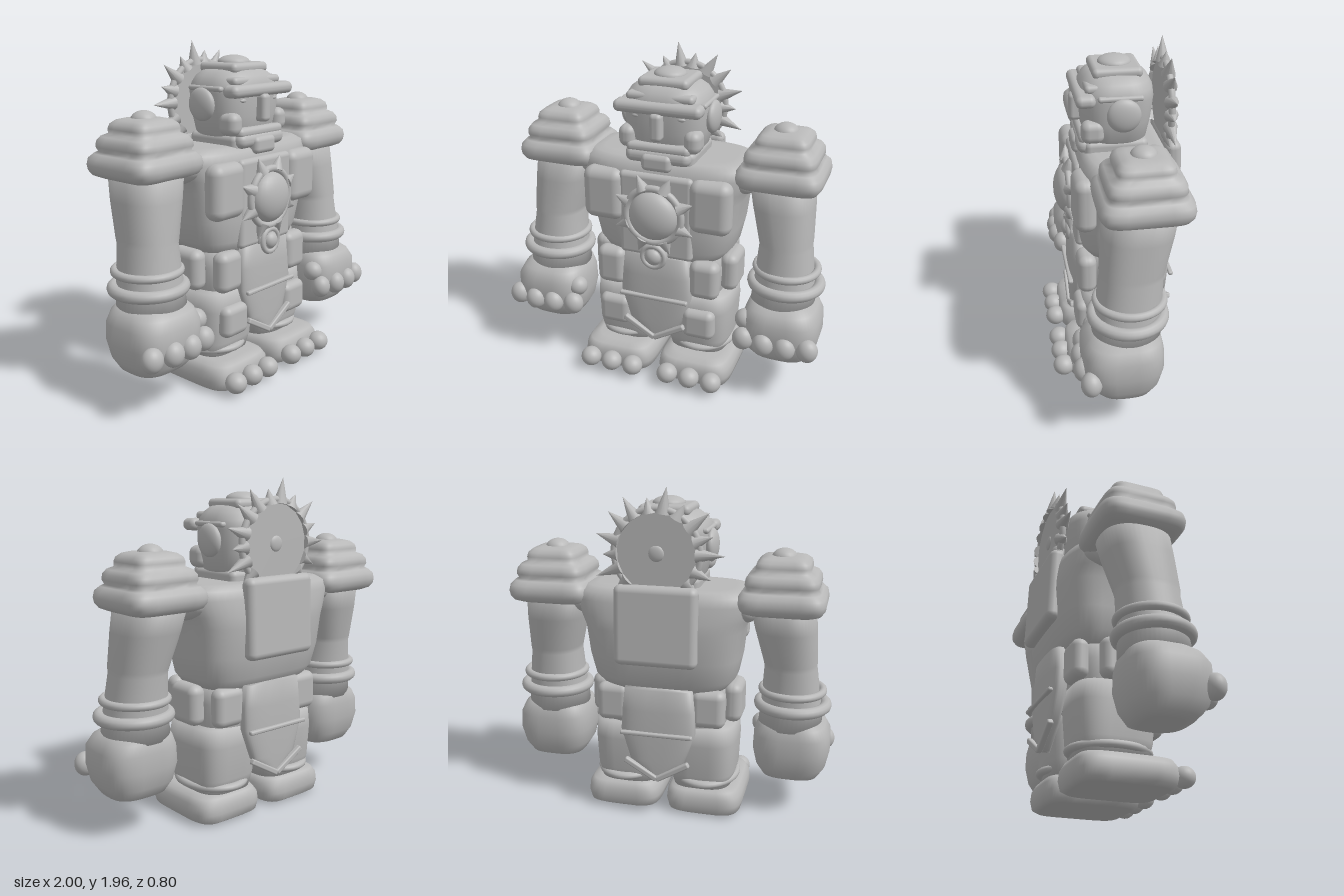
import * as THREE from 'three';
import { RoundedBoxGeometry } from 'three/addons/geometries/RoundedBoxGeometry.js';

const stone = new THREE.MeshStandardMaterial({ color: 0xb8b8b8 });
stone.name = 'stone grey';

// Solid lofted upward through rounded-square sections [y, cx, cz, halfX, halfZ, squareness]
function loft(sections, seg = 48) {
  const pos = [], idx = [], n = sections.length;
  const pw = (v, e) => Math.sign(v) * Math.pow(Math.abs(v), e);
  for (const [y, cx, cz, hx, hz, sq = 3.5] of sections) {
    for (let i = 0; i < seg; i++) {
      const a = (i / seg) * Math.PI * 2;
      pos.push(cx + hx * pw(Math.cos(a), 2 / sq), y, cz + hz * pw(Math.sin(a), 2 / sq));
    }
  }
  const bottom = n * seg, top = bottom + 1, first = sections[0], last = sections[n - 1];
  pos.push(first[1], first[0], first[2], last[1], last[0], last[2]);
  for (let i = 0; i < seg; i++) {
    const k = (i + 1) % seg;
    for (let j = 0; j < n - 1; j++) {
      const a = j * seg + i, b = j * seg + k;
      idx.push(a, a + seg, b, b, a + seg, b + seg);
    }
    idx.push(bottom, i, k, top, (n - 1) * seg + k, (n - 1) * seg + i);
  }
  const g = new THREE.BufferGeometry();
  g.setAttribute('position', new THREE.Float32BufferAttribute(pos, 3));
  g.setIndex(idx);
  g.computeVertexNormals();
  return g;
}

export function createModel() {
  const model = new THREE.Group();
  model.name = 'stoneGuardian';

  const add = (name, geo, x = 0, y = 0, z = 0, parent = model) => {
    const m = new THREE.Mesh(geo, stone);
    m.name = name;
    m.position.set(x, y, z);
    parent.add(m);
    return m;
  };
  const box = (name, w, h, d, x, y, z, r = 0.035, parent = model) =>
    add(name, new RoundedBoxGeometry(w, h, d, 4, Math.min(r, w / 2.1, h / 2.1, d / 2.1)), x, y, z, parent);
  const ball = (name, r, x, y, z, parent = model, sx = 1, sy = 1, sz = 1) => {
    const m = add(name, new THREE.SphereGeometry(r, 24, 16), x, y, z, parent);
    m.scale.set(sx, sy, sz);
    return m;
  };
  // Horizontal ring with separate x and z radii
  const band = (name, rx, rz, tube, x, y, z, parent) => {
    const m = add(name, new THREE.TorusGeometry(rx, tube, 12, 40), x, y, z, parent);
    m.rotation.x = Math.PI / 2;
    m.scale.y = rz / rx;
  };
  const disc = (name, r, depth, x, y, z) => {
    const m = add(name, new THREE.CylinderGeometry(r, r, depth, 40), x, y, z);
    m.rotation.x = Math.PI / 2;
  };
  // Cone pointing outward from a centre in the xy plane
  const spike = (name, cy, z, deg, r0, r1, w) => {
    const a = THREE.MathUtils.degToRad(deg), mid = (r0 + r1) / 2;
    const m = add(name, new THREE.ConeGeometry(w, r1 - r0, 10), Math.cos(a) * mid, cy + Math.sin(a) * mid, z);
    m.rotation.z = a - Math.PI / 2;
  };

  // Torso and hips
  add('torso', loft([
    [0.77, 0, -0.04, 0.3, 0.19], [0.79, 0, -0.045, 0.37, 0.235], [0.85, 0, -0.055, 0.42, 0.26],
    [0.98, 0, -0.06, 0.447, 0.285], [1.15, 0, -0.07, 0.465, 0.29], [1.22, 0, -0.07, 0.495, 0.285],
    [1.31, 0, -0.07, 0.53, 0.27], [1.36, 0, -0.07, 0.52, 0.255], [1.385, 0, -0.07, 0.46, 0.22],
    [1.39, 0, -0.07, 0.4, 0.18]]));
  add('hips', loft([
    [0.5, 0, -0.03, 0.33, 0.19], [0.54, 0, -0.03, 0.365, 0.22], [0.7, 0, -0.035, 0.38, 0.235],
    [0.82, 0, -0.04, 0.36, 0.22]]));
  box('chestPanel', 0.45, 0.52, 0.08, 0, 1.06, 0.185, 0.03);
  box('backPlate', 0.48, 0.46, 0.09, 0, 1.195, -0.348, 0.04).rotation.x = 0.04;
  box('neck', 0.42, 0.1, 0.36, 0, 1.4, -0.02);

  // Sun emblem on the chest
  disc('sunPlate', 0.175, 0.03, 0, 1.08, 0.23);
  add('sunRim', new THREE.TorusGeometry(0.168, 0.021, 12, 48), 0, 1.08, 0.245);
  ball('sunDome', 0.148, 0, 1.08, 0.245, model, 1, 1, 0.55);
  for (let i = 0; i < 8; i++) spike('sunSpike', 1.08, 0.24, 22.5 + i * 45, 0.165, 0.26, 0.042);
  ball('pendant', 0.085, 0, 0.82, 0.235, model, 1, 1, 0.35);
  add('pendantRim', new THREE.TorusGeometry(0.068, 0.016, 10, 32), 0, 0.82, 0.25);
  ball('pendantBead', 0.05, 0, 0.82, 0.25, model, 1, 1, 0.8);

  // Convex loincloths, front and back
  for (const [side, z, out] of [['front', 0.19, 1], ['back', -0.29, -1]]) {
    add(side + 'Loincloth', loft([
      [0.255, 0, z + out * 0.025, 0.015, 0.03, 3], [0.37, 0, z + out * 0.02, 0.165, 0.04, 3],
      [0.55, 0, z + out * 0.01, 0.222, 0.055, 3], [0.68, 0, z, 0.215, 0.06, 3], [0.81, 0, z, 0.2, 0.055, 3]]));
    box(side + 'ClothBar', 0.43, 0.024, 0.03, 0, 0.545, z + out * 0.068, 0.01);
    for (const s of [-1, 1]) {
      const trim = box(side + 'ClothTrim', 0.225, 0.034, 0.035, s * 0.095, 0.315, z + out * 0.057, 0.01);
      trim.rotation.z = s * 0.53;
    }
  }

  // Head
  add('head', loft([
    [1.39, 0, -0.03, 0.17, 0.15, 3], [1.45, 0, -0.03, 0.22, 0.18, 3], [1.55, 0, -0.03, 0.24, 0.2, 3],
    [1.68, 0, -0.035, 0.25, 0.21, 3], [1.73, 0, -0.035, 0.24, 0.205, 2.8], [1.77, 0, -0.035, 0.215, 0.185, 2.7],
    [1.8, 0, -0.035, 0.175, 0.15, 2.7], [1.815, 0, -0.035, 0.12, 0.1, 2.7]]));
  box('brow', 0.52, 0.07, 0.11, 0, 1.695, 0.155, 0.033);
  box('forehead', 0.4, 0.05, 0.1, 0, 1.745, 0.105, 0.025);
  box('capStep', 0.3, 0.06, 0.28, 0, 1.813, -0.035, 0.028);
  ball('capButton', 0.095, 0, 1.84, -0.035, model, 1, 0.45, 1);
  box('nose', 0.07, 0.16, 0.09, 0, 1.595, 0.18, 0.025);
  box('upperLip', 0.38, 0.06, 0.12, 0, 1.46, 0.13, 0.028);
  box('lowerLip', 0.39, 0.085, 0.13, 0, 1.415, 0.135, 0.04);
  box('chin', 0.18, 0.1, 0.1, 0, 1.385, 0.17, 0.03);

  // Uneven spiked halo behind the head: [angle, tip radius]
  disc('haloDisc', 0.25, 0.025, 0, 1.6, -0.315);
  add('haloRim', new THREE.TorusGeometry(0.242, 0.02, 10, 48), 0, 1.6, -0.318);
  ball('haloBoss', 0.045, 0, 1.6, -0.325, model, 1, 1, 0.35);
  const haloTips = [[-42, 0.32], [-22, 0.377], [-3, 0.31], [16, 0.36], [39, 0.35], [58, 0.355], [80, 0.305], [99, 0.365],
    [120, 0.31], [142, 0.37], [162, 0.33], [180, 0.38], [204, 0.335], [224, 0.32]];
  for (const [deg, tip] of haloTips) spike('haloSpike', 1.6, -0.318, deg, 0.22, tip, 0.042);

  // Everything that comes in pairs
  for (const s of [1, -1]) {
    const side = s > 0 ? 'left' : 'right';
    const group = name => {
      const g = new THREE.Group();
      g.name = side + name;
      model.add(g);
      return g;
    };

    // Face and body details
    ball(side + 'Ear', 0.095, s * 0.255, 1.615, -0.05, model, 0.42, 1, 1);
    ball(side + 'Eye', 0.02, s * 0.13, 1.64, 0.155, model, 1.4, 0.6, 0.6);
    box(side + 'Temple', 0.04, 0.03, 0.25, s * 0.235, 1.705, -0.035, 0.015);
    box(side + 'Cheek', 0.1, 0.13, 0.13, s * 0.195, 1.51, 0.115, 0.045);
    box(side + 'ChestPlate', 0.25, 0.32, 0.13, s * 0.325, 1.16, 0.185, 0.06);
    box(side + 'FrontPouch', 0.18, 0.24, 0.11, s * 0.295, 0.685, 0.175, 0.05);
    box(side + 'SidePouch', 0.11, 0.24, 0.23, s * 0.405, 0.69, -0.03, 0.05);
    box(side + 'BackPouch', 0.2, 0.23, 0.1, s * 0.285, 0.69, -0.24, 0.048);

    // Stepped pillow shoulder with a knob
    const shoulder = group('Shoulder');
    const steps = [[1.265, 0.19], [1.28, 0.225], [1.305, 0.242], [1.335, 0.247], [1.37, 0.24], [1.395, 0.215], [1.405, 0.196],
      [1.43, 0.207], [1.46, 0.203], [1.485, 0.185], [1.5, 0.152], [1.525, 0.153], [1.55, 0.145], [1.57, 0.12], [1.58, 0.08]];
    add('shoulderSteps', loft(steps.map(([y, h]) => [y, s * 0.673, -0.07, h, h, 6]), 64), 0, 0, 0, shoulder);
    ball('shoulderKnob', 0.072, s * 0.67, 1.565, -0.075, shoulder, 1, 0.75, 1);
    ball('shoulderJoint', 0.1, s * 0.475, 1.29, -0.07, shoulder, 0.85, 1, 2);

    // Arm, bracelets and fist
    const arm = group('Arm');
    add('armShaft', loft([
      [0.55, s * 0.735, 0.02, 0.19, 0.19, 2.2], [0.7, s * 0.735, 0.01, 0.175, 0.18, 2.2],
      [0.92, s * 0.727, -0.01, 0.152, 0.172, 2.2], [0.95, s * 0.725, -0.012, 0.155, 0.175, 2.3],
      [1.15, s * 0.695, -0.045, 0.175, 0.19, 2.5], [1.32, s * 0.67, -0.07, 0.187, 0.2, 2.5]]), 0, 0, 0, arm);
    band('upperBracelet', 0.178, 0.18, 0.023, s * 0.742, 0.772, 0, arm);
    band('lowerBracelet', 0.195, 0.19, 0.034, s * 0.745, 0.68, 0.01, arm);
    add('fist', loft([
      [0.215, s * 0.75, 0.03, 0.12, 0.1, 3], [0.235, s * 0.75, 0.035, 0.17, 0.155, 3], [0.3, s * 0.75, 0.045, 0.21, 0.205, 3],
      [0.4, s * 0.75, 0.045, 0.23, 0.225, 3.2], [0.5, s * 0.75, 0.045, 0.225, 0.222, 3.2],
      [0.56, s * 0.745, 0.035, 0.2, 0.2, 3], [0.6, s * 0.74, 0.02, 0.16, 0.16, 2.5]]), 0, 0, 0, arm);
    for (let i = 0; i < 4; i++)
      ball('knuckle', 0.068, s * (0.555 + i * 0.127), 0.375, i % 3 ? 0.26 : 0.235, arm, 0.93, 1.03, 0.85);
    ball('thumb', 0.062, s * 0.55, 0.47, 0.17, arm);

    // Leg, knee pad, anklet and foot
    const leg = group('Leg');
    add('legShaft', loft([
      [0.15, s * 0.23, -0.03, 0.175, 0.195], [0.25, s * 0.23, -0.03, 0.197, 0.22],
      [0.45, s * 0.228, -0.03, 0.207, 0.235], [0.56, s * 0.225, -0.03, 0.2, 0.225]]), 0, 0, 0, leg);
    box('kneePad', 0.2, 0.19, 0.1, s * 0.27, 0.39, 0.195, 0.045, leg);
    band('anklet', 0.18, 0.22, 0.022, s * 0.245, 0.207, -0.035, leg);
    add('foot', loft([
      [0, s * 0.25, 0.015, 0.19, 0.25, 5], [0.02, s * 0.25, 0.015, 0.222, 0.28, 5], [0.07, s * 0.25, 0.015, 0.234, 0.29, 5],
      [0.12, s * 0.25, 0.015, 0.228, 0.285, 5], [0.155, s * 0.25, 0.015, 0.205, 0.265, 5],
      [0.17, s * 0.25, 0.01, 0.16, 0.22, 4]]), 0, 0, 0, leg);
    for (let i = 0; i < 3; i++)
      ball('toe', 0.063, s * (0.115 + i * 0.14), 0.077, 0.333, leg, 1, 0.95, 1);
  }
  return model;
}
